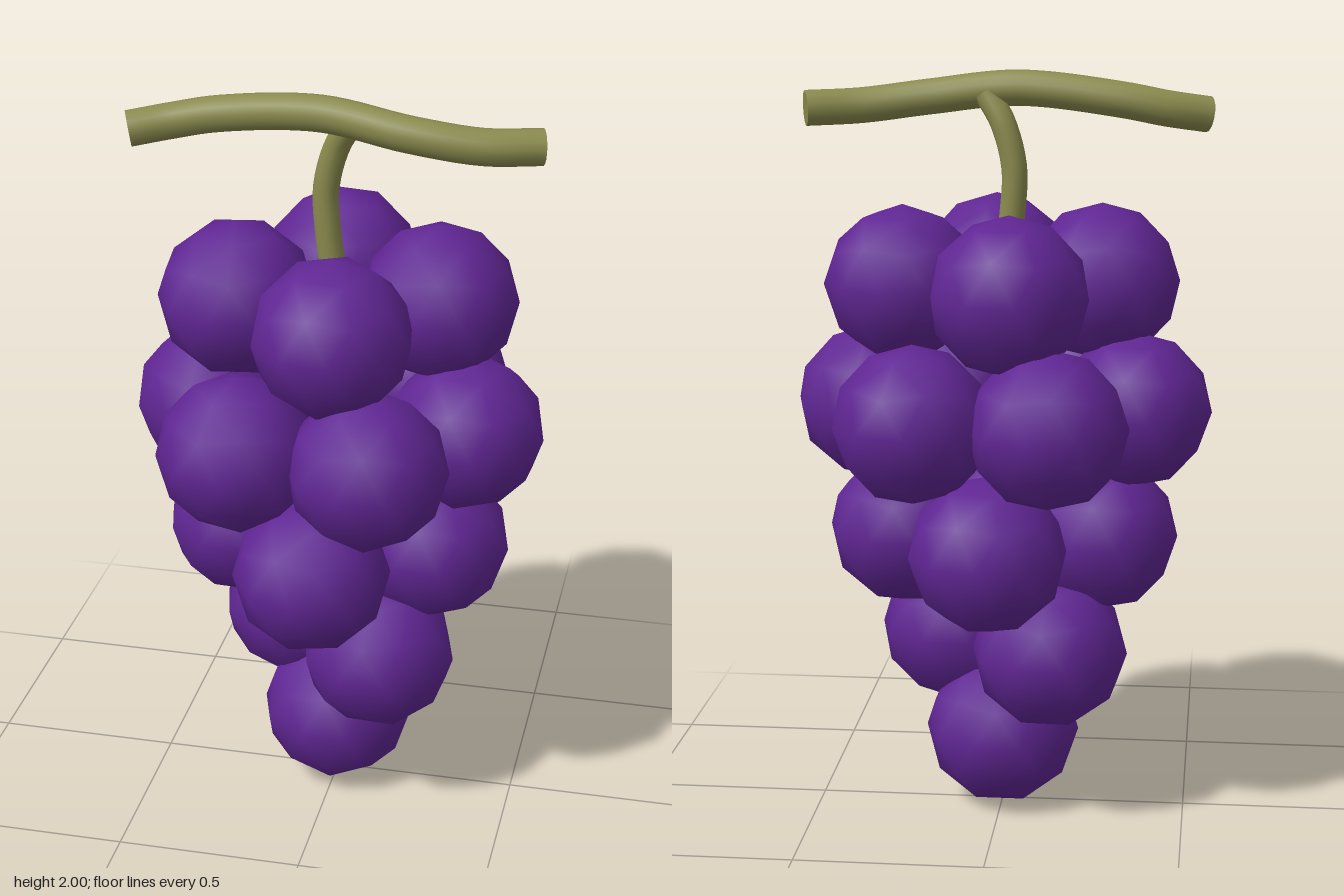
import * as THREE from 'three';

const R = 0.209; // grape radius
const rad = THREE.MathUtils.degToRad;

// Rings of grapes, top to bottom; angle is measured from +x towards +z
const rings = [
  { y: 1.447, count: 4, radius: 0.264, angle: -9 },
  { y: 1.117, count: 6, radius: 0.353, angle: 5.5 },
  { y: 0.77, count: 4, radius: 0.265, angle: 3 },
  { y: 0.467, count: 2, radius: 0.177, angle: 39 },
  { y: R, count: 1, radius: 0, angle: 0 },
];

// Round stick along a smooth curve, closed at both ends
function stick(name, points, radius, segments, material) {
  const curve = new THREE.CatmullRomCurve3(points.map((p) => new THREE.Vector3(...p)));
  const group = new THREE.Group();
  group.name = name;
  group.add(new THREE.Mesh(new THREE.TubeGeometry(curve, segments, radius, 14), material));
  for (const [t, dir] of [[0, -1], [1, 1]]) {
    const cap = new THREE.Mesh(new THREE.CircleGeometry(radius, 14), material);
    const normal = curve.getTangentAt(t).multiplyScalar(dir);
    cap.quaternion.setFromUnitVectors(new THREE.Vector3(0, 0, 1), normal);
    cap.position.copy(curve.getPointAt(t));
    group.add(cap);
  }
  group.children.forEach((m, i) => { m.name = i ? name + 'End' : name + 'Tube'; });
  return group;
}

export function createModel() {
  const model = new THREE.Group();
  model.name = 'grapeBunch';
  const skin = new THREE.MeshStandardMaterial({ color: 0x602694 });
  const wood = new THREE.MeshStandardMaterial({ color: 0x8a8a4e });

  // Grapes: smooth-shaded low-poly balls standing on a corner, turned to face outwards
  const ball = new THREE.IcosahedronGeometry(R, 1);
  ball.rotateZ(Math.atan(2 / (1 + Math.sqrt(5))));
  ball.rotateY(rad(-18));
  const grapes = new THREE.Group();
  grapes.name = 'grapes';
  for (const { y, count, radius, angle } of rings) {
    for (let i = 0; i < count; i++) {
      const a = rad(angle + (i * 360) / count);
      const grape = new THREE.Mesh(ball, skin);
      grape.name = 'grape';
      grape.position.set(Math.cos(a) * radius, y, Math.sin(a) * radius);
      grape.rotation.y = -a;
      grapes.add(grape);
    }
  }
  model.add(grapes);

  // Wavy branch across the top
  model.add(stick('branch', [
    [-0.535, 1.888, 0.055], [-0.43, 1.905, 0.018], [-0.31, 1.928, 0.007], [-0.04, 1.955, 0.033],
    [0.2, 1.928, 0.071], [0.38, 1.905, 0.057], [0.523, 1.9, 0.01],
  ], 0.047, 36, wood));

  // Bent stem hanging from the branch into the bunch
  model.add(stick('stem', [
    [0.045, 1.94, 0.03], [0, 1.865, 0.01], [-0.03, 1.75, 0.003],
    [-0.025, 1.63, 0.004], [0, 1.45, 0.004],
  ], 0.034, 20, wood));

  return model;
}
